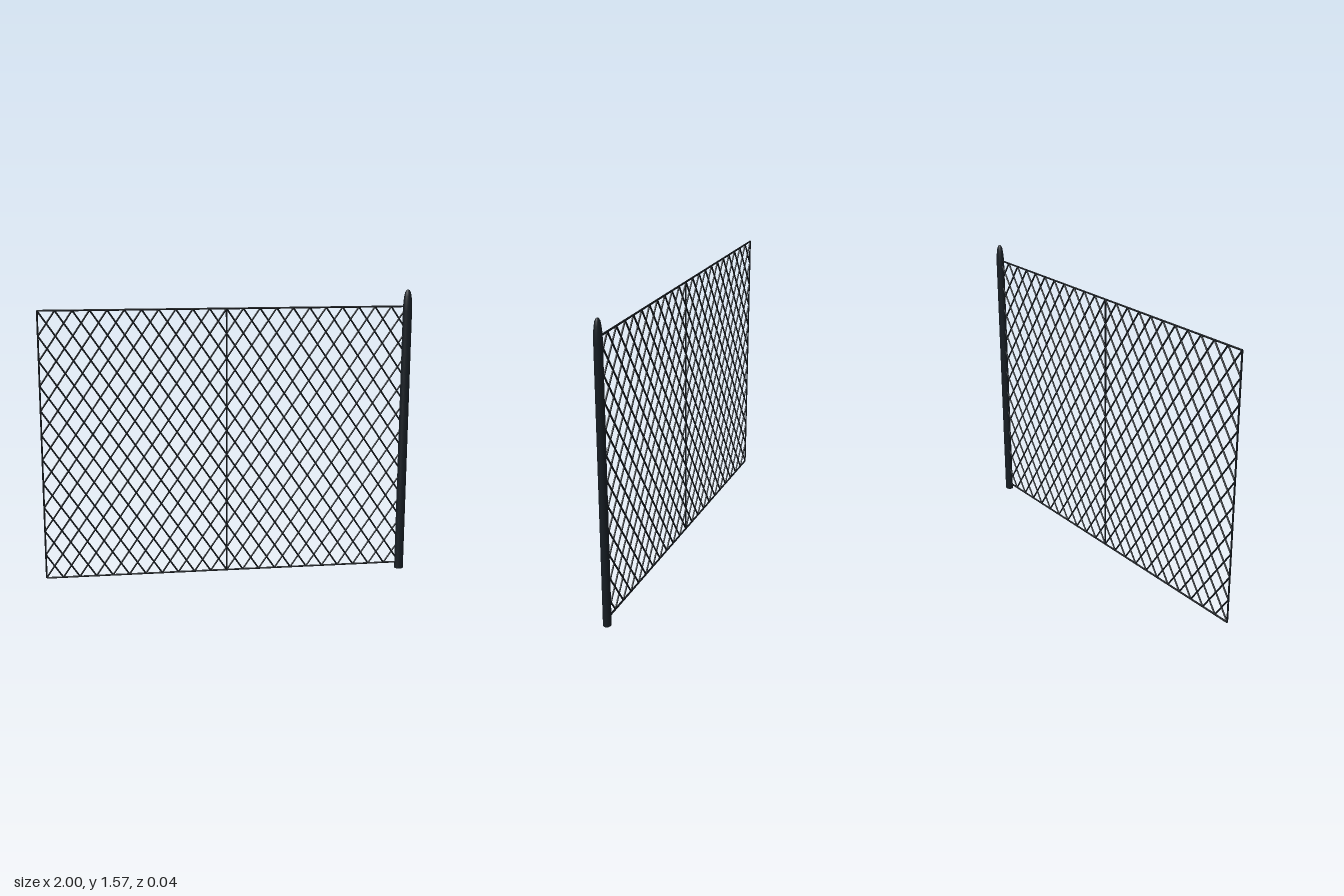
import * as THREE from 'three';

const wireMat = new THREE.MeshStandardMaterial({ color: 0x101418 });
const postMat = new THREE.MeshStandardMaterial({ color: 0x151b21 });

const BOTTOM = 0.035, TOP = 1.48;      // panel height range
const LEFT = -0.998, WIDTH = 0.986;    // first panel edge and panel width
const CELLS = 11;                      // diamonds across and up each panel

// Straight round wire between two points in the fence plane
function wire(name, x1, y1, x2, y2, radius) {
  const a = new THREE.Vector3(x1, y1, 0), b = new THREE.Vector3(x2, y2, 0);
  const dir = b.clone().sub(a);
  const mesh = new THREE.Mesh(new THREE.CylinderGeometry(radius, radius, dir.length(), 8), wireMat);
  mesh.name = name;
  mesh.position.copy(a).add(b).multiplyScalar(0.5);
  mesh.quaternion.setFromUnitVectors(new THREE.Vector3(0, 1, 0), dir.normalize());
  return mesh;
}

// Diamond mesh filling one panel, each strand clipped to the panel
function meshPanel(name, x0) {
  const panel = new THREE.Group();
  panel.name = name;
  const X = u => x0 + u * WIDTH;
  const Y = v => BOTTOM + v * (TOP - BOTTOM);
  for (let k = 1 - CELLS; k < CELLS; k++) {
    const c = k / CELLS;
    const u1 = Math.max(0, c), u2 = Math.min(1, 1 + c);
    const v1 = u1 - c, v2 = u2 - c;
    panel.add(wire('risingStrand', X(u1), Y(v1), X(u2), Y(v2), 0.0046));
    panel.add(wire('fallingStrand', X(u1), Y(1 - v1), X(u2), Y(1 - v2), 0.0046));
  }
  return panel;
}

// Oval post with a rounded, tapering tip
function makePost() {
  // The near-double base point keeps the bottom edge sharp
  const profile = [[0, 0], [0.025, 0], [0.025, 0.0005], [0.025, 1.46], [0.0245, 1.485],
    [0.0228, 1.51], [0.0198, 1.535], [0.0155, 1.555], [0.009, 1.567], [0, 1.571]];
  const post = new THREE.Mesh(
    new THREE.LatheGeometry(profile.map(p => new THREE.Vector2(...p)), 24), postMat);
  post.name = 'post';
  post.scale.z = 0.82;
  post.position.x = 0.975;
  return post;
}

export function createModel() {
  const fence = new THREE.Group();
  fence.name = 'chainLinkFence';
  const right = LEFT + 2 * WIDTH;

  fence.add(meshPanel('rightPanel', LEFT), meshPanel('leftPanel', LEFT + WIDTH));

  // Frame wires around and between the panels
  fence.add(wire('topRail', LEFT, TOP, right, TOP, 0.005));
  fence.add(wire('bottomRail', LEFT, BOTTOM, right, BOTTOM, 0.005));
  for (let i = 0; i <= 2; i++) {
    const x = LEFT + i * WIDTH;
    fence.add(wire('uprightWire', x, BOTTOM, x, TOP, 0.0046));
  }

  fence.add(makePost());
  return fence;
}
